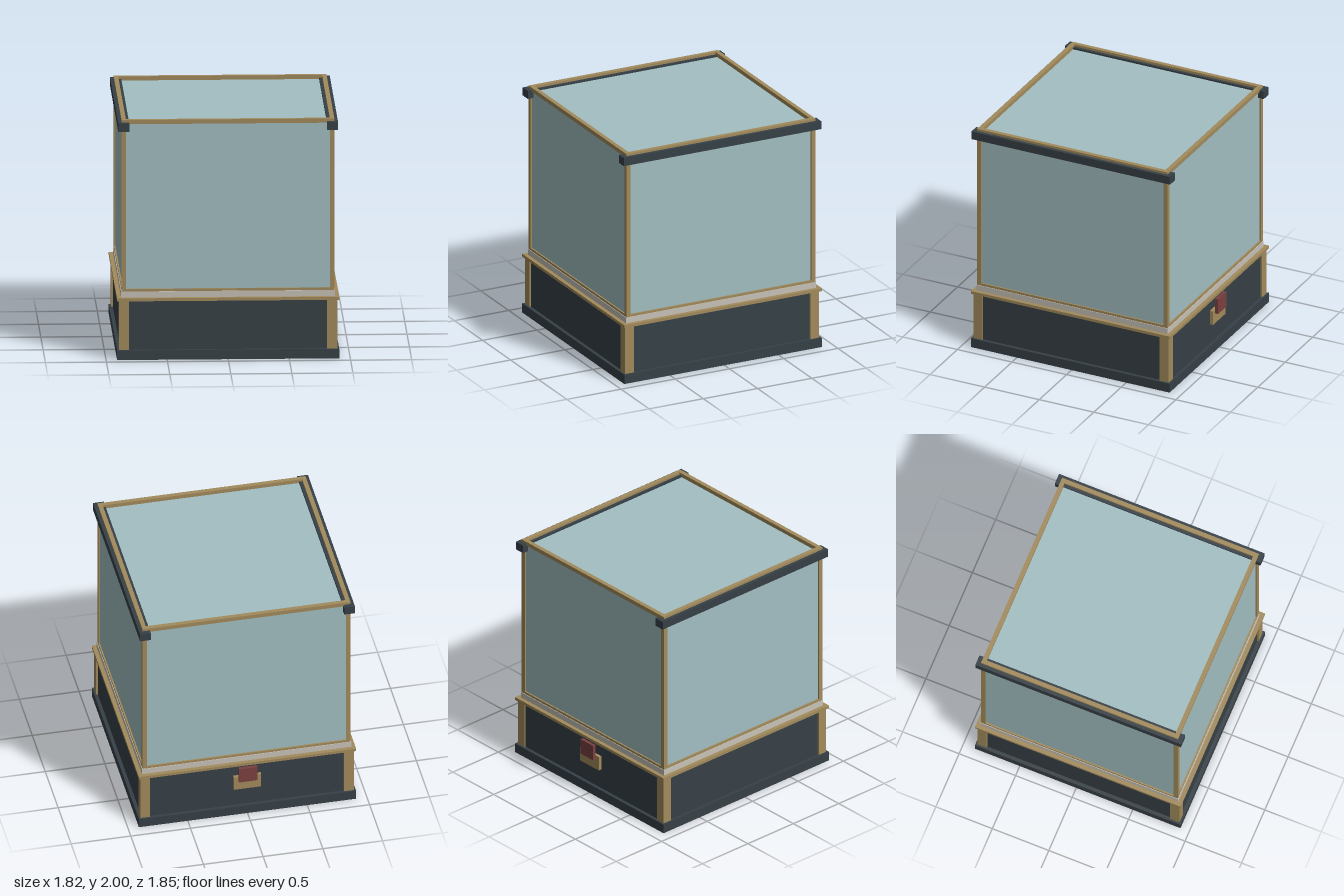
import * as THREE from 'three';

const CZ = 0.0125; // the case sits slightly forward to balance the latch

const material = (name, color) => {
  const m = new THREE.MeshStandardMaterial({ color });
  m.name = name;
  return m;
};

export function createModel() {
  const model = new THREE.Group();
  model.name = 'displayCase';
  const slate = material('slate', 0x364046);
  const brass = material('brass', 0xa28b5c);
  const glass = material('paleGlass', 0xa2bfc2);
  const stone = material('paleStone', 0xc8c3b8);
  const red = material('dullRed', 0x7c4040);

  // Box given by its lower and upper bounds
  function box(name, mat, [x0, x1], [y0, y1], [z0, z1], parent = model) {
    const mesh = new THREE.Mesh(new THREE.BoxGeometry(x1 - x0, y1 - y0, z1 - z0), mat);
    mesh.position.set((x0 + x1) / 2, (y0 + y1) / 2, (z0 + z1) / 2);
    mesh.name = name;
    parent.add(mesh);
  }

  // Square slab centred on the case
  const slab = (name, mat, half, y0, y1) =>
    box(name, mat, [-half, half], [y0, y1], [CZ - half, CZ + half]);

  // Four square posts at the corners
  function posts(name, mat, half, width, y0, y1) {
    const group = new THREE.Group();
    group.name = name + 's';
    for (const sx of [-1, 1]) for (const sz of [-1, 1]) {
      const c = half - width / 2;
      box(name, mat, [sx * c - width / 2, sx * c + width / 2], [y0, y1],
        [CZ + sz * c - width / 2, CZ + sz * c + width / 2], group);
    }
    model.add(group);
  }

  // Open square frame of four bars
  function frame(name, mat, half, width, y0, y1) {
    const group = new THREE.Group();
    group.name = name;
    const inner = half - width;
    for (const s of [-1, 1]) {
      const c = s * (half - width / 2), w = width / 2;
      box(name + 'CrossBar', mat, [-half, half], [y0, y1], [CZ + c - w, CZ + c + w], group);
      box(name + 'SideBar', mat, [c - w, c + w], [y0, y1], [CZ - inner, CZ + inner], group);
    }
    model.add(group);
  }

  // Base cabinet
  slab('plinth', slate, 0.91, 0, 0.08);
  slab('basePanels', slate, 0.88, 0.08, 0.49);
  posts('basePost', brass, 0.894, 0.082, 0.08, 0.49);
  slab('baseTrim', brass, 0.91, 0.49, 0.515);
  slab('displayDeck', stone, 0.876, 0.515, 0.565);

  // Glass box and its thin edging
  slab('glassBox', glass, 0.858, 0.565, 1.966);
  frame('lowerFrame', brass, 0.871, 0.037, 0.565, 0.585);
  posts('glassPost', brass, 0.871, 0.037, 0.585, 1.965);
  frame('topFrame', brass, 0.8715, 0.0365, 1.965, 2);

  // Dark rails along the upper side edges
  for (const s of [-1, 1]) {
    const xs = [s * 0.81, s * 0.9].sort((a, b) => a - b);
    box(s > 0 ? 'leftTopRail' : 'rightTopRail', slate, xs, [1.91, 1.98], [CZ - 0.91, CZ + 0.91]);
  }

  // Latch on the back
  box('latchPlate', brass, [-0.115, 0.115], [0.255, 0.38], [-0.896, -0.866]);
  box('latch', red, [-0.077, 0.077], [0.345, 0.48], [-0.924, -0.896]);

  return model;
}
